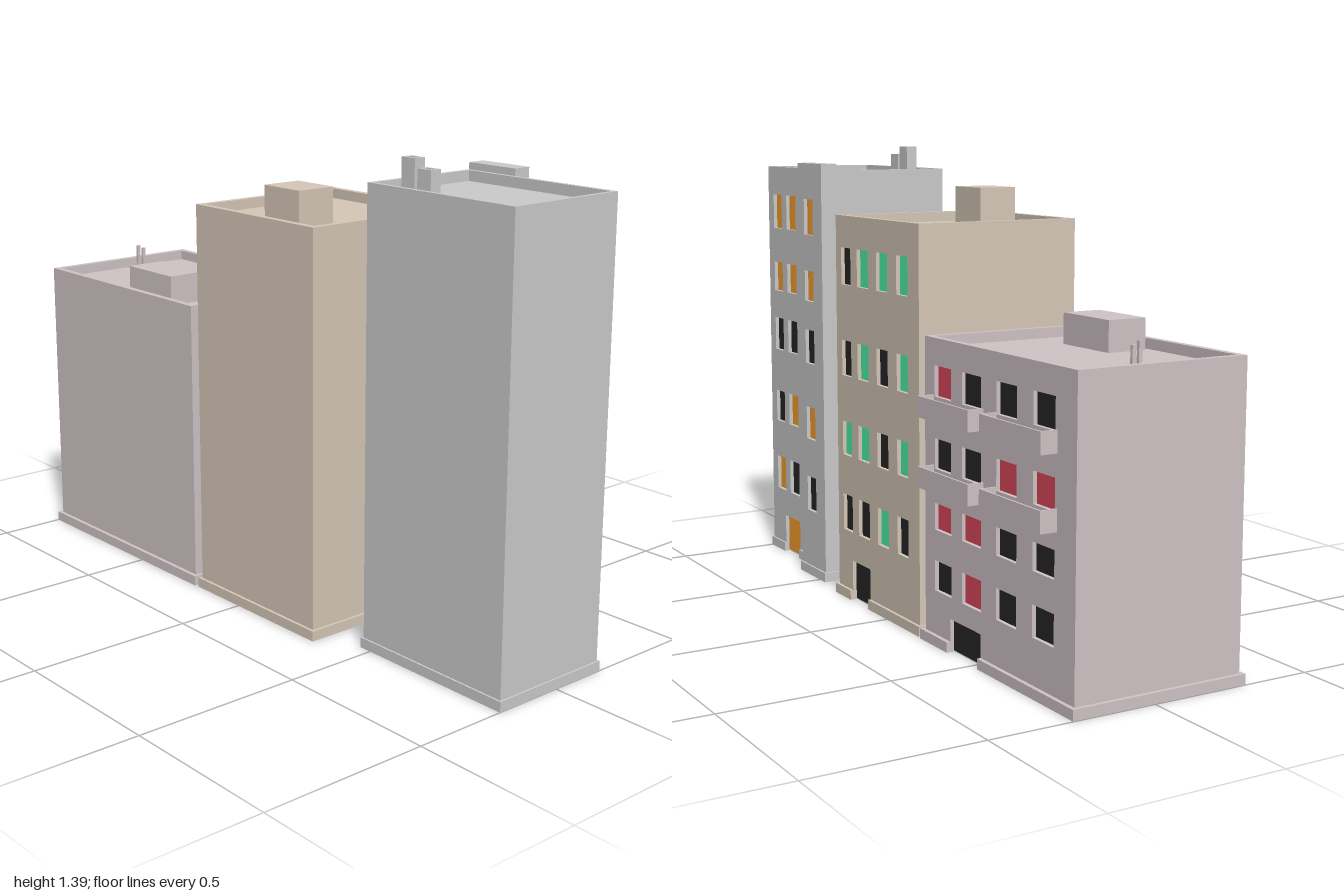
import * as THREE from 'three';

const material = (color) => new THREE.MeshStandardMaterial({ color, flatShading: true });
const DEPTH = 0.014; // how far windows and doors sit back
const PARAPET = 0.03; // height of the roof edge
const PLINTH = 0.03;

function add(group, name, geometry, mat) {
  const mesh = new THREE.Mesh(geometry, mat);
  mesh.name = name;
  group.add(mesh);
  return mesh;
}

function box(group, name, mat, [x0, x1], [y0, y1], [z0, z1]) {
  const mesh = add(group, name, new THREE.BoxGeometry(x1 - x0, y1 - y0, z1 - z0), mat);
  mesh.position.set((x0 + x1) / 2, (y0 + y1) / 2, (z0 + z1) / 2);
}

const polygon = (points) => points.map(([a, b]) => new THREE.Vector2(a, b));
const rect = ([a0, a1], [b0, b1]) => polygon([[a0, b0], [a1, b0], [a1, b1], [a0, b1]]);
const extrude = (shape, depth) => new THREE.ExtrudeGeometry(shape, { depth, bevelEnabled: false });

// Hollow rectangular frame lying flat, from y0 to y1
function ring(group, name, mat, [x0, x1], [y0, y1], [z0, z1], t) {
  const shape = new THREE.Shape(rect([x0, x1], [-z1, -z0]));
  shape.holes.push(new THREE.Path(rect([x0 + t, x1 - t], [-z1 + t, -z0 - t])));
  const geometry = extrude(shape, y1 - y0);
  geometry.rotateX(-Math.PI / 2).translate(0, y0, 0);
  add(group, name, geometry, mat);
}

// Wall facing +x with window holes and a door notch, and a pane set into each
function facade(group, mat, x, h, [z0, z1], columns, rows, colours, door) {
  const outline = [[-z1, 0]];
  if (door) {
    const [a, b] = door.z;
    outline.push([-b, 0], [-b, door.top], [-a, door.top], [-a, 0]);
    box(group, 'door', door.mat, [x - DEPTH - 0.002, x - DEPTH + 0.002], [0.004, door.top], door.z);
  }
  outline.push([-z0, 0], [-z0, h], [-z1, h]);
  const shape = new THREE.Shape(polygon(outline));
  rows.forEach((row, r) => columns.forEach((col, c) => {
    shape.holes.push(new THREE.Path(rect([-col[1], -col[0]], row)));
    box(group, 'windowPane', colours[r][c], [x - DEPTH - 0.002, x - DEPTH + 0.002], row, col);
  }));
  const geometry = extrude(shape, DEPTH);
  geometry.rotateY(Math.PI / 2).translate(x - DEPTH, 0, 0);
  add(group, 'windowWall', geometry, mat);
}

// Plinth around the footprint, left open in front of the door
function plinth(group, mat, [x0, x1], [z0, z1], e, door) {
  const [a, b] = door.z;
  const shape = new THREE.Shape(polygon([
    [x0 - e, -z1 - e], [x1 + e, -z1 - e], [x1 + e, -b], [x1 - DEPTH, -b],
    [x1 - DEPTH, -a], [x1 + e, -a], [x1 + e, -z0 + e], [x0 - e, -z0 + e],
  ]));
  add(group, 'plinth', extrude(shape, PLINTH).rotateX(-Math.PI / 2), mat);
}

function building(name, o) {
  const g = new THREE.Group();
  g.name = name;
  const roof = o.h - PARAPET;
  box(g, 'body', o.mat, [o.x[0], o.x[1] - DEPTH], [0, roof], o.z);
  facade(g, o.mat, o.x[1], roof, o.z, o.columns, o.rows, o.colours, o.door);
  ring(g, 'parapet', o.mat, o.x, [roof, o.h], o.z, o.edge);
  plinth(g, o.mat, o.x, o.z, o.lip, o.door);
  return g;
}

export function createModel() {
  const grey = material(0xcccccc), tan = material(0xd6c8b7), mauve = material(0xd0c4c6);
  const K = material(0x262626), O = material(0xf9a22e), G = material(0x4cf5ab), R = material(0xdc485c);
  const model = new THREE.Group();
  model.name = 'apartmentBlocks';

  // Tall grey block
  const greyRows = [[1.114, 1.227], [0.902, 0.999], [0.7, 0.809], [0.452, 0.557], [0.214, 0.327]];
  const tall = building('tallBlock', {
    mat: grey, x: [-0.21, 0.17], z: [0.467, 0.995], h: 1.32, edge: 0.013, lip: 0.006,
    columns: [[0.89, 0.955], [0.78, 0.853], [0.652, 0.727]], rows: greyRows,
    colours: [[O, O, O], [O, O, K], [K, K, O], [K, O, K], [O, K, K]],
    door: { z: [0.78, 0.896], top: 0.126, mat: O },
  });
  // Stair tower on its window side
  const tower = new THREE.Group();
  tower.name = 'stairTower';
  const towerZ = [0.467, 0.64];
  box(tower, 'towerBody', grey, [0.17, 0.225 - DEPTH], [0, 1.34], towerZ);
  facade(tower, grey, 0.225, 1.34, towerZ, [[0.532, 0.596]], greyRows, [[O], [O], [K], [O], [K]]);
  box(tower, 'towerPlinth', grey, [0.165, 0.231], [0, PLINTH], [0.461, 0.644]);
  tall.add(tower);
  // Chimneys with open flues
  for (const [z, top] of [[0.56, 1.39], [0.62, 1.365]]) {
    ring(tall, 'chimney', grey, [-0.152, -0.116], [1.28, top], [z - 0.025, z + 0.025], 0.01);
  }
  model.add(tall);

  // Tan middle block with a roof hut
  const middle = building('middleBlock', {
    mat: tan, x: [-0.285, 0.24], z: [-0.19, 0.335], h: 1.19, edge: 0.02, lip: 0.009,
    columns: [[0.238, 0.3], [0.123, 0.195], [0, 0.07], [-0.123, -0.056]],
    rows: [[0.98, 1.093], [0.7, 0.809], [0.452, 0.557], [0.214, 0.327]],
    colours: [[K, G, G, G], [K, G, K, G], [G, G, K, G], [K, K, G, K]],
    door: { z: [0.123, 0.24], top: 0.124, mat: K },
  });
  box(middle, 'roofHut', tan, [-0.245, -0.122], [1.15, 1.273], [0.079, 0.229]);
  model.add(middle);

  // Low mauve block with balconies
  const low = building('lowBlock', {
    mat: mauve, x: [-0.285, 0.24], z: [-0.986, -0.225], h: 0.88, edge: 0.02, lip: 0.012,
    columns: [[-0.372, -0.28], [-0.532, -0.43], [-0.711, -0.61], [-0.89, -0.789]],
    rows: [[0.715, 0.803], [0.51, 0.597], [0.335, 0.412], [0.158, 0.246]],
    colours: [[R, K, K, K], [K, K, R, R], [R, R, K, K], [K, R, K, K]],
    door: { z: [-0.532, -0.366], top: 0.096, mat: K },
  });
  box(low, 'roofHut', mauve, [-0.245, -0.122], [0.84, 0.94], [-0.6, -0.38]);
  box(low, 'roofPipe', mauve, [0.004, 0.014], [0.84, 0.93], [-0.925, -0.915]);
  box(low, 'roofPipe', mauve, [0.024, 0.034], [0.84, 0.92], [-0.925, -0.915]);
  // Balconies: a floor with a thin parapet around it
  for (const y of [0.66, 0.46]) {
    for (const z of [[-0.545, -0.27], [-0.9, -0.604]]) {
      box(low, 'balconyFloor', mauve, [0.238, 0.29], [y, y + 0.008], z);
      box(low, 'balconyFront', mauve, [0.284, 0.29], [y, y + 0.06], z);
      for (const end of [z[0], z[1] - 0.006]) {
        box(low, 'balconySide', mauve, [0.238, 0.288], [y, y + 0.06], [end, end + 0.006]);
      }
    }
  }
  model.add(low);
  return model;
}
